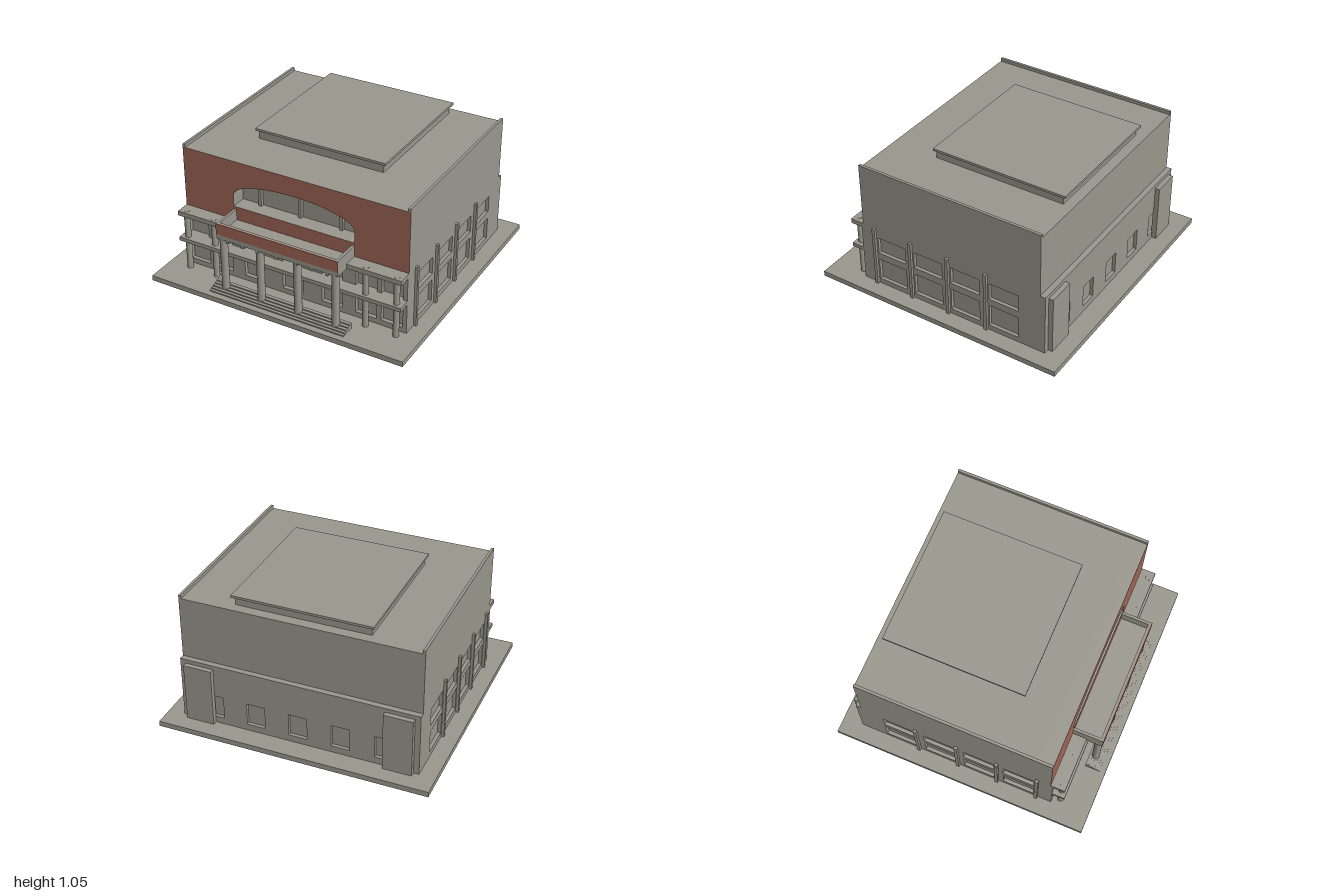
import * as THREE from 'three';

export function createModel() {
  const model = new THREE.Group();
  const stone = new THREE.MeshStandardMaterial({ color: 0x9a988e });
  stone.name = 'grey stone';
  const brick = new THREE.MeshStandardMaterial({ color: 0xa06656 });
  brick.name = 'red brick';

  const add = (name, geometry, material = stone) => {
    const mesh = new THREE.Mesh(geometry, material);
    mesh.name = name;
    model.add(mesh);
    return mesh;
  };
  // Box given by its limits on each axis
  const box = (name, x0, x1, y0, y1, z0, z1, material) => {
    const g = new THREE.BoxGeometry(x1 - x0, y1 - y0, z1 - z0);
    g.translate((x0 + x1) / 2, (y0 + y1) / 2, (z0 + z1) / 2);
    return add(name, g, material);
  };
  const column = (name, x, z, r, y0, y1) => {
    const g = new THREE.CylinderGeometry(r, r, y1 - y0, 20);
    g.translate(x, (y0 + y1) / 2, z);
    return add(name, g);
  };
  const rect = (S, x0, x1, y0, y1) => {
    const s = new S();
    s.moveTo(x0, y0);
    s.lineTo(x1, y0);
    s.lineTo(x1, y1);
    s.lineTo(x0, y1);
    s.closePath();
    return s;
  };
  // Upright wall plate in the xy plane with window openings
  const plate = (x0, x1, y0, y1, openings, depth) => {
    const shape = rect(THREE.Shape, x0, x1, y0, y1);
    openings.forEach((o) => shape.holes.push(rect(THREE.Path, ...o)));
    return new THREE.ExtrudeGeometry(shape, { depth, bevelEnabled: false });
  };

  // Ground slab and solid cores behind the wall plates
  box('groundSlab', -1, 1, 0, 0.04, -0.965, 0.965);
  box('lowerCore', -0.855, 0.855, 0.04, 0.51, -0.79, 0.65);
  box('upperHall', -0.88, 0.88, 0.51, 0.97, -0.775, 0.55);

  // Side walls with two rows of recessed windows, pilasters and roof parapets
  const sideWindows = [];
  for (const z of [0.425, 0.12, -0.185, -0.495]) {
    sideWindows.push([z - 0.116, z + 0.116, 0.08, 0.25], [z - 0.116, z + 0.116, 0.305, 0.435]);
  }
  for (const s of [-1, 1]) {
    const g = plate(-0.8, 0.665, 0.04, 0.51, sideWindows, 0.025);
    g.rotateY(-Math.PI / 2); // plate x becomes z, depth runs towards -x
    g.translate(s > 0 ? 0.88 : -0.855, 0, 0);
    add('sideWall', g);
    for (const z of [0.565, 0.26, -0.045, -0.355]) {
      const x = s * 0.885;
      box('sidePilaster', x - 0.015, x + 0.015, 0.04, 0.51, z - 0.012, z + 0.012);
    }
    box('roofParapet', s * 0.87 - 0.01, s * 0.87 + 0.01, 0.97, 0.995, -0.775, 0.665);
  }

  // Back wall with small windows and two corner projections
  const backWindows = [-0.63, -0.315, 0, 0.315, 0.63].map((x) => [x - 0.068, x + 0.068, 0.09, 0.26]);
  add('backWall', plate(-0.88, 0.88, 0.04, 0.51, backWindows, 0.03)).position.z = -0.815;
  box('backLedge', -0.88, 0.88, 0.49, 0.51, -0.815, -0.775);
  for (const s of [-1, 1]) {
    box('backTower', s * 0.735 - 0.105, s * 0.735 + 0.105, 0.04, 0.48, -0.85, -0.81);
  }

  // Lower front wall
  const frontWindows = [];
  for (const x of [-0.77, -0.575, -0.313, 0, 0.313, 0.575, 0.77]) {
    frontWindows.push([x - 0.08, x + 0.08, 0.08, 0.245], [x - 0.08, x + 0.08, 0.3, 0.44]);
  }
  add('lowerFrontWall', plate(-0.88, 0.88, 0.04, 0.49, frontWindows, 0.03)).position.z = 0.65;

  // Brick upper front with an arched opening, plain stone on its edges
  const front = rect(THREE.Shape, -0.88, 0.88, 0.51, 0.97);
  const arch = new THREE.Path();
  arch.moveTo(-0.475, 0.615);
  arch.lineTo(0.475, 0.615);
  arch.lineTo(0.475, 0.705);
  arch.absellipse(0, 0.705, 0.475, 0.125, 0, Math.PI, false, 0);
  arch.closePath();
  front.holes.push(arch);
  const frontGeometry = new THREE.ExtrudeGeometry(front, { depth: 0.115, bevelEnabled: false, curveSegments: 32 });
  add('archedFrontWall', frontGeometry, [brick, stone]).position.z = 0.55;
  for (const x of [-0.32, 0, 0.32]) {
    box('archMullion', x - 0.012, x + 0.012, 0.615, 0.77, 0.55, 0.575);
  }

  // Front galleries at two levels with their columns
  box('upperGallery', -0.88, 0.88, 0.475, 0.51, 0.65, 0.77);
  box('middleGallery', -0.88, 0.88, 0.27, 0.3, 0.67, 0.775);
  for (const x of [-0.83, -0.6, 0.6, 0.83]) column('galleryColumn', x, 0.735, 0.022, 0.04, 0.512);

  // Central balcony with brick front panel, joists and porch columns
  box('balconyFloor', -0.475, 0.475, 0.475, 0.512, 0.66, 0.885);
  box('balconyFront', -0.475, 0.475, 0.512, 0.595, 0.865, 0.882);
  box('balconyFrontPanel', -0.475, 0.475, 0.512, 0.595, 0.882, 0.89, brick);
  for (const s of [-1, 1]) {
    box('balconySide', s * 0.465 - 0.01, s * 0.465 + 0.01, 0.512, 0.595, 0.665, 0.865);
  }
  for (const x of [-0.39, -0.27, -0.15, 0, 0.15, 0.27, 0.39]) {
    box('balconyJoist', x - 0.01, x + 0.01, 0.455, 0.475, 0.68, 0.885);
  }
  for (const x of [-0.44, -0.147, 0.147, 0.44]) column('porchColumn', x, 0.853, 0.028, 0.04, 0.475);

  // Entrance steps
  [0.92, 0.9, 0.88, 0.857, 0.835].forEach((z, i) => {
    box('entranceStep', -0.535, 0.535, 0.04 + i * 0.009, 0.049 + i * 0.009, 0.81, z);
  });

  // Raised roof box with overhanging cap
  box('roofBox', -0.49, 0.49, 0.97, 1.035, -0.7, 0.3);
  box('roofCap', -0.51, 0.51, 1.032, 1.05, -0.725, 0.315);

  return model;
}
